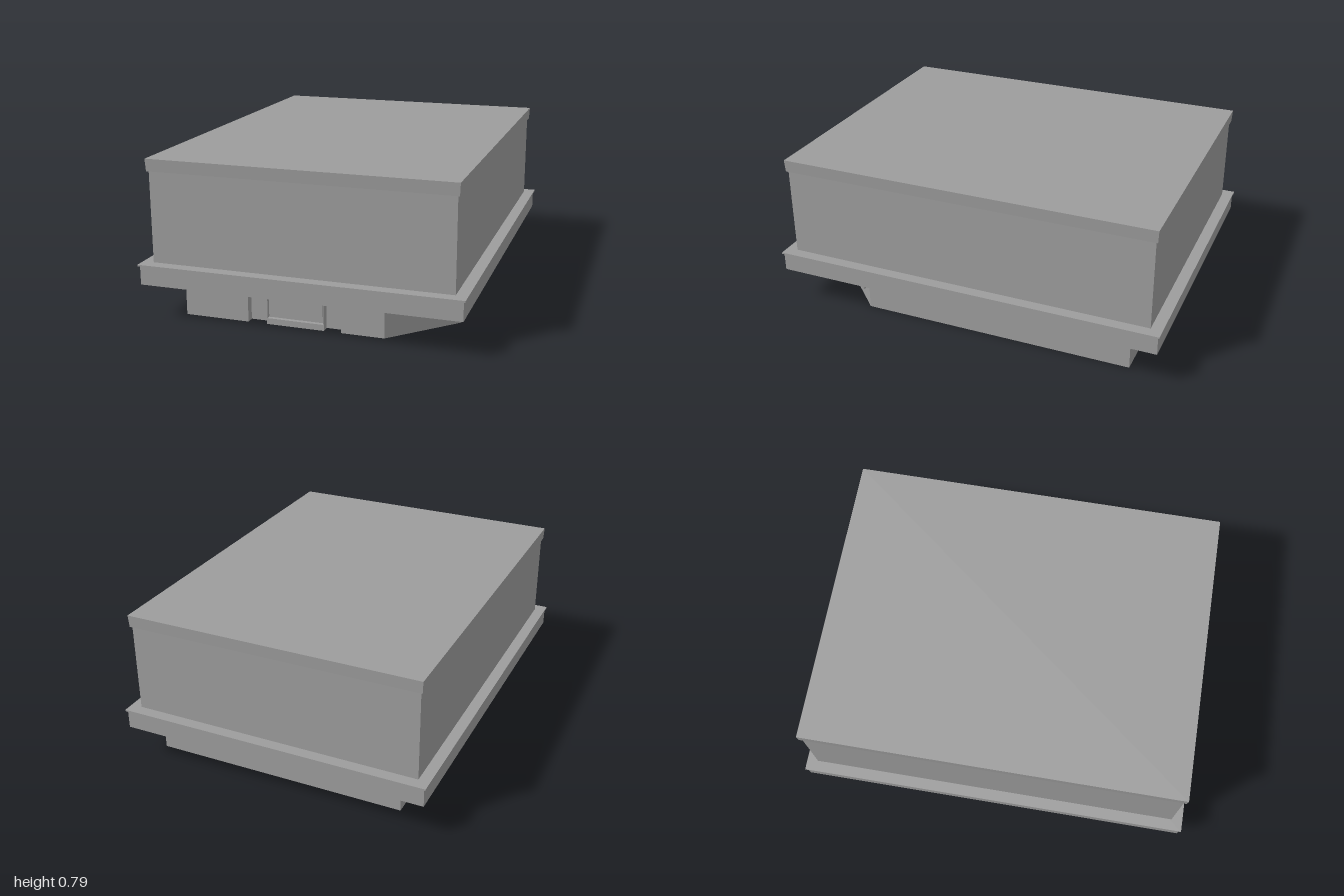
import * as THREE from 'three';

export function createModel() {
  const model = new THREE.Group();
  const material = new THREE.MeshStandardMaterial({ color: 0x9d9d9d, flatShading: true });

  function add(name, geometry) {
    const mesh = new THREE.Mesh(geometry, material);
    mesh.name = name;
    model.add(mesh);
  }

  // Box given by its minimum and maximum corners
  function block(name, [x0, y0, z0], [x1, y1, z1]) {
    const g = new THREE.BoxGeometry(x1 - x0, y1 - y0, z1 - z0);
    g.translate((x0 + x1) / 2, (y0 + y1) / 2, (z0 + z1) / 2);
    add(name, g);
  }

  // Centred slab whose top may overhang its bottom
  function slab(name, halfX, halfZ, y0, y1, flare = 0) {
    const g = new THREE.BoxGeometry(halfX * 2, y1 - y0, halfZ * 2);
    const p = g.attributes.position;
    for (let i = 0; i < p.count; i++) {
      if (p.getY(i) > 0) {
        p.setX(i, p.getX(i) + Math.sign(p.getX(i)) * flare);
        p.setZ(i, p.getZ(i) + Math.sign(p.getZ(i)) * flare);
      }
    }
    g.translate(0, (y0 + y1) / 2, 0);
    g.computeVertexNormals();
    add(name, g);
  }

  // Base plan (x, z): one cut corner, two front notches and a shallow panel recess
  const front = 0.86, back = -0.84, notch = front - 0.06, recess = front - 0.02;
  const plan = new THREE.Shape([
    [-0.616, back], [0.687, back], [0.687, 0.56], [0.39, front],
    [0.18, front], [0.18, notch], [0.094, notch], [0.094, recess],
    [-0.194, recess], [-0.194, notch], [-0.29, notch], [-0.29, front], [-0.616, front],
  ].map(([x, z]) => new THREE.Vector2(x, z)));
  const base = new THREE.ExtrudeGeometry(plan, { depth: 0.18, bevelEnabled: false });
  base.rotateX(Math.PI / 2).translate(0, 0.18, 0);
  add('base', base);

  // Lower ledge inside each notch
  for (const [x0, x1] of [[-0.29, -0.194], [0.094, 0.18]]) {
    block('notchLedge', [x0, 0, notch - 0.01], [x1, 0.13, notch + 0.02]);
  }

  // Framed opening between the notches
  const frame = new THREE.Shape([
    [-0.194, 0], [0.094, 0], [0.094, 0.18], [-0.194, 0.18],
  ].map(([x, y]) => new THREE.Vector2(x, y)));
  frame.holes.push(new THREE.Path([
    [-0.19, 0.03], [-0.19, 0.17], [0.09, 0.17], [0.09, 0.03],
  ].map(([x, y]) => new THREE.Vector2(x, y))));
  const frameGeometry = new THREE.ExtrudeGeometry(frame, { depth: front - recess, bevelEnabled: false });
  frameGeometry.translate(0, 0, recess);
  add('panelFrame', frameGeometry);
  block('frontPanel', [-0.185, 0.035, recess - 0.01], [0.085, 0.165, recess + 0.008]);

  // Thin tab beside the cut corner
  block('sideTab', [0.687, 0.135, 0.555], [0.74, 0.17, 0.567]);

  // Ledge with a thin lip, main body and flared roof edge
  slab('ledge', 0.785, 0.992, 0.18, 0.273);
  slab('ledgeLip', 0.794, 1.0, 0.273, 0.281);
  slab('body', 0.738, 0.943, 0.281, 0.73);
  slab('roof', 0.747, 0.952, 0.73, 0.791, 0.003);

  return model;
}
